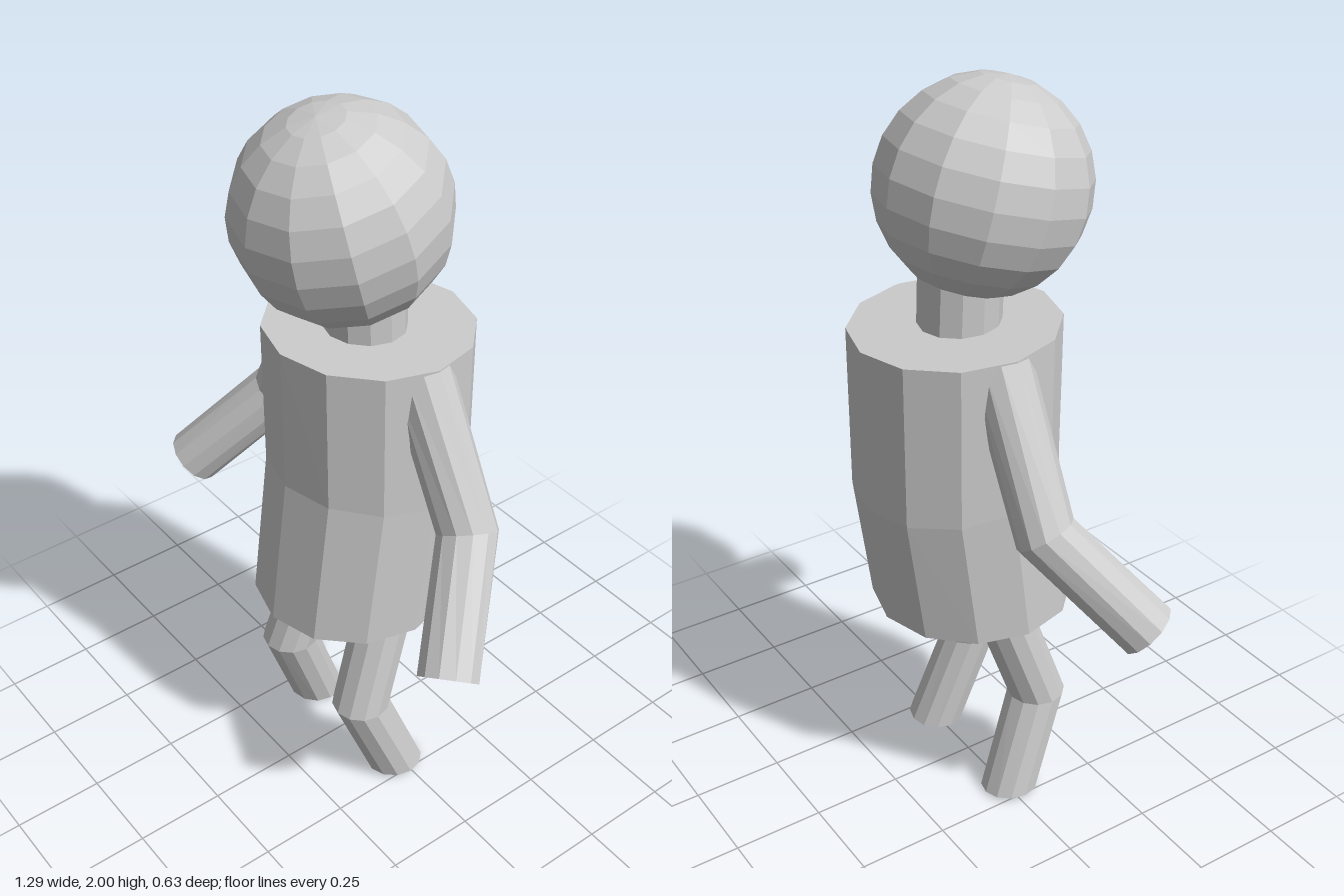
import * as THREE from 'three';

const SIDES = 12;
const material = new THREE.MeshStandardMaterial({ color: 0xcccccc, flatShading: true });
const UP = new THREE.Vector3(0, 1, 0);

// Closed tube through tilted rings, listed top to bottom: [centre, upward normal]
function ringTube(name, radius, rings) {
  const positions = [], index = [];
  const add = (p) => positions.push(p.x, p.y, p.z);
  for (const [centre, normal] of rings) {
    const c = new THREE.Vector3(...centre);
    const tilt = new THREE.Quaternion().setFromUnitVectors(UP, new THREE.Vector3(...normal).normalize());
    for (let i = 0; i < SIDES; i++) {
      const a = (i / SIDES) * Math.PI * 2;
      add(new THREE.Vector3(Math.sin(a) * radius, 0, Math.cos(a) * radius).applyQuaternion(tilt).add(c));
    }
  }
  const last = (rings.length - 1) * SIDES;
  const top = rings.length * SIDES, bottom = top + 1;
  add(new THREE.Vector3(...rings[0][0]));
  add(new THREE.Vector3(...rings[rings.length - 1][0]));
  for (let i = 0; i < SIDES; i++) {
    const j = (i + 1) % SIDES;
    for (let r = 0; r < last; r += SIDES) {
      index.push(r + i, r + SIDES + i, r + SIDES + j, r + i, r + SIDES + j, r + j);
    }
    index.push(top, i, j, bottom, last + j, last + i);
  }
  const geometry = new THREE.BufferGeometry();
  geometry.setAttribute('position', new THREE.Float32BufferAttribute(positions, 3));
  geometry.setIndex(index);
  geometry.computeVertexNormals();
  const mesh = new THREE.Mesh(geometry, material);
  mesh.name = name;
  return mesh;
}

export function createModel() {
  const model = new THREE.Group();
  model.name = 'figure';

  // Head, nodding slightly forward
  const head = new THREE.Mesh(new THREE.SphereGeometry(0.273, SIDES, 12), material);
  head.name = 'head';
  head.position.set(0, 1.727, 0.045);
  head.rotation.x = THREE.MathUtils.degToRad(15);
  model.add(head);

  // Neck and torso, bent at the waist
  model.add(ringTube('neck', 0.108, [
    [[0, 1.56, -0.02], [0, 1, 0.1]],
    [[0, 1.34, -0.028], [0, 1, 0]],
  ]));
  model.add(ringTube('torso', 0.273, [
    [[0, 1.391, -0.04], [0, 1, -0.05]],
    [[0, 0.965, -0.04], [0, 1, -0.13]],
    [[0, 0.575, 0.012], [0, 1, 0]],
  ]));

  // Arms and legs, mirrored
  for (const [side, s] of [['left', 1], ['right', -1]]) {
    model.add(ringTube(side + 'Arm', 0.08, [
      [[s * 0.2, 1.354, -0.04], [-s * 0.47, 0.88, 0]],
      [[s * 0.4, 0.975, -0.04], [-s * 0.48, 0.83, -0.28]],
      [[s * 0.573, 0.715, 0.157], [-s * 0.47, 0.7, -0.53]],
    ]));
    model.add(ringTube(side + 'Leg', 0.08, [
      [[s * 0.135, 0.7, -0.028], [0, 1, 0]],
      [[s * 0.168, 0.285, 0.115], [0, 1, 0]],
      [[s * 0.193, 0.008, 0.012], [-s * 0.09, 1, 0]],
    ]));
  }
  return model;
}
